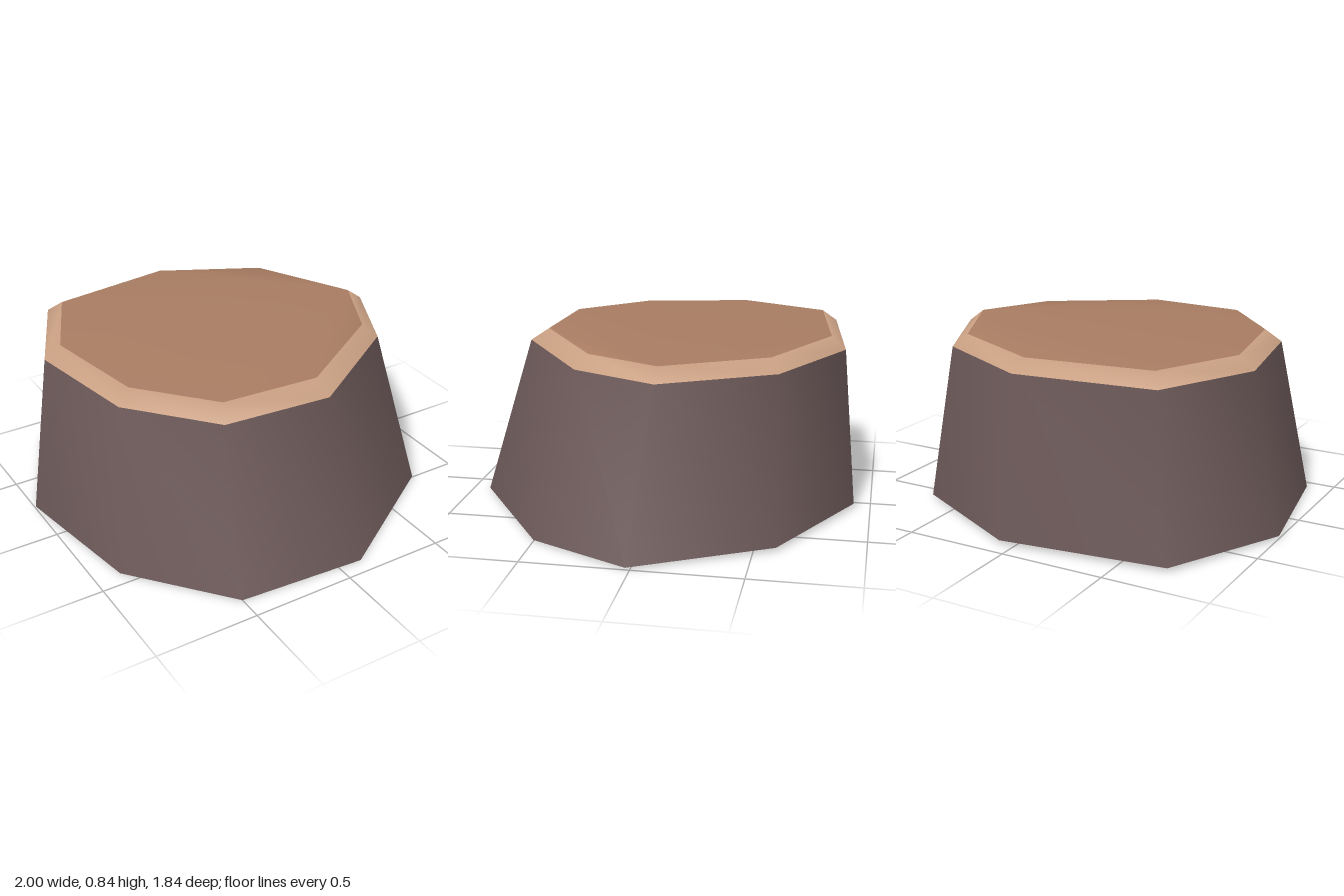
import * as THREE from 'three';

// Uneven nine-sided outlines as [x, z], running from +x towards +z
const baseOutline = [[1, 0.02], [0.76, 0.5], [0.12, 0.92], [-0.5, 0.88], [-0.88, 0.43], [-1, -0.25], [-0.72, -0.82], [0.07, -0.92], [0.68, -0.6]];
const shoulderOutline = [[0.8, -0.07], [0.61, 0.33], [0.07, 0.69], [-0.45, 0.65], [-0.77, 0.28], [-0.87, -0.29], [-0.64, -0.77], [0.03, -0.85], [0.54, -0.58]];
const topOutline = [[0.72, -0.07], [0.55, 0.28], [0.06, 0.6], [-0.41, 0.57], [-0.7, 0.24], [-0.79, -0.28], [-0.59, -0.7], [0.01, -0.78], [0.48, -0.54]];

// Lift an outline to a slightly tilted ring
const ring = (outline, y, tilt) => outline.map(([x, z]) => [x, y - tilt * z, z]);

// Wall between two rings, optionally closed by a cap in a second material
function loft(lower, upper, capped) {
  const n = lower.length;
  const index = [];
  for (let i = 0; i < n; i++) {
    const j = (i + 1) % n;
    index.push(i, n + i, n + j, i, n + j, j);
  }
  const geometry = new THREE.BufferGeometry();
  geometry.addGroup(0, index.length, 0);
  if (capped) {
    const start = index.length;
    for (let i = 1; i < n - 1; i++) index.push(n, n + i + 1, n + i);
    geometry.addGroup(start, index.length - start, 1);
  }
  geometry.setAttribute('position', new THREE.Float32BufferAttribute([...lower, ...upper].flat(), 3));
  geometry.setIndex(index);
  geometry.computeVertexNormals();
  return geometry;
}

export function createModel() {
  const material = (name, color) => {
    const m = new THREE.MeshStandardMaterial({ color, side: THREE.DoubleSide });
    m.name = name;
    return m;
  };
  const bark = material('bark', 0x6f5b5b);
  const paleWood = material('pale wood', 0xc9a083);
  const heartwood = material('heartwood', 0xa87c62);

  const base = ring(baseOutline, 0.01, 0.011);
  const shoulder = ring(shoulderOutline, 0.778, 0.004);
  const top = ring(topOutline, 0.838, 0.004);

  const group = new THREE.Group();
  group.name = 'treeStump';

  // Hollow bark wall, open at the bottom
  const barkWall = new THREE.Mesh(loft(base, shoulder, false), bark);
  barkWall.name = 'barkWall';

  // Bevelled rim and cut face, shaded as one smooth surface
  const cutTop = new THREE.Mesh(loft(shoulder, top, true), [paleWood, heartwood]);
  cutTop.name = 'rimAndCutFace';

  group.add(barkWall, cutTop);
  return group;
}
